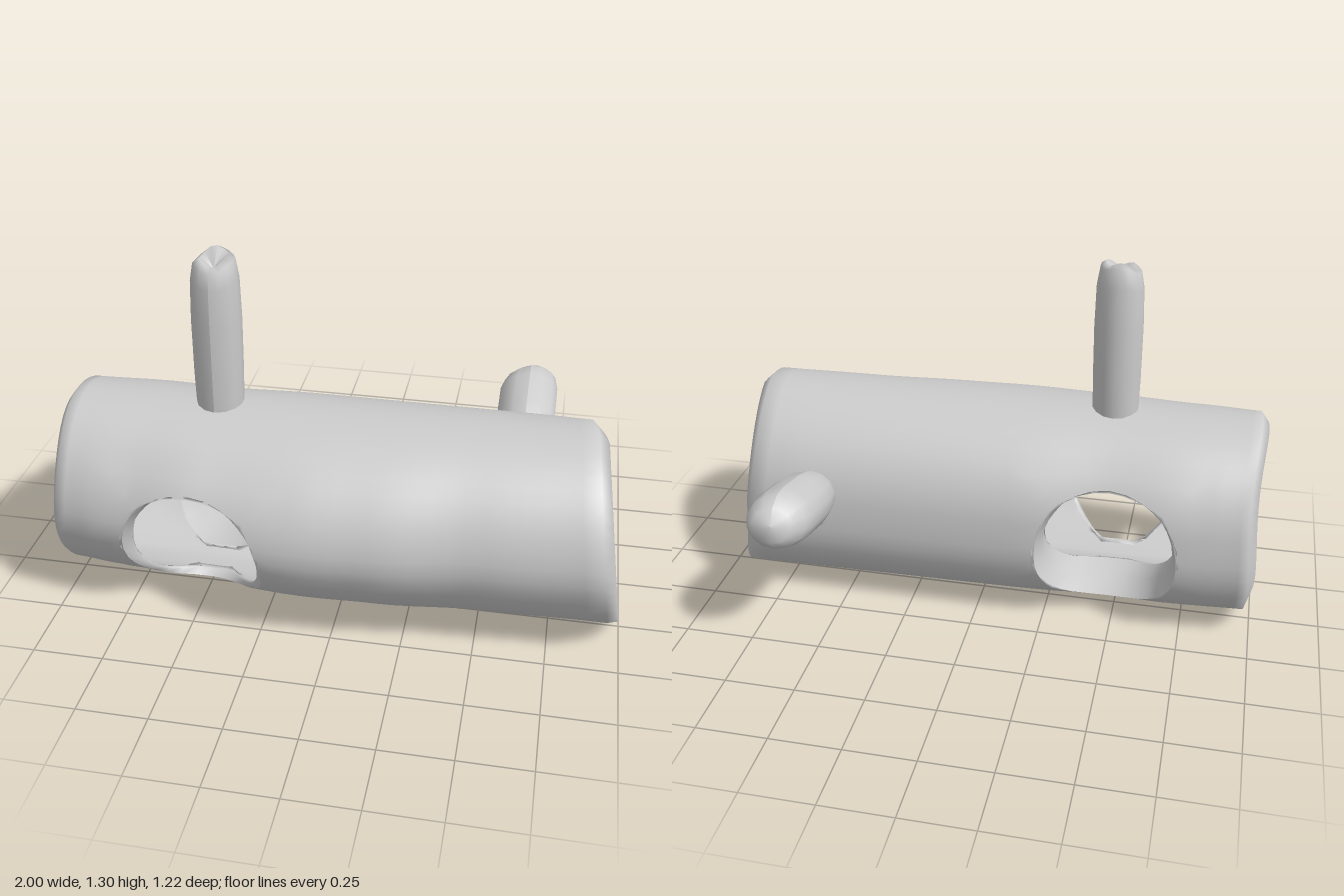
import * as THREE from 'three';

const { lerp, clamp, degToRad, smoothstep } = THREE.MathUtils;
const material = new THREE.MeshStandardMaterial({ color: 0xcccccc, side: THREE.DoubleSide });

// Smooth lookup through a few [x, value] stations
function along(stations, x) {
  for (let i = 1; i < stations.length; i++) {
    const [x0, a] = stations[i - 1], [x1, b] = stations[i];
    if (x <= x1) return lerp(a, b, smoothstep(x, x0, x1));
  }
  return stations[stations.length - 1][1];
}

const frontZ = [[-1, 0.505], [-0.75, 0.54], [-0.45, 0.585], [-0.1, 0.61], [0.15, 0.595], [0.55, 0.545], [1, 0.52]];
const backZ = [[-1, -0.175], [-0.7, -0.2], [-0.45, -0.185], [-0.15, -0.21], [0.8, -0.205], [1, -0.195]];

// Cross-section limits of the log's outer skin or its hollow
function section(x, inner) {
  const top = 0.738 - (inner ? 0.066 : 0), bottom = 0.016 - 0.014 * x + (inner ? 0.062 : 0);
  return {
    cy: (top + bottom) / 2, ry: (top - bottom) / 2, cz: 0.165,
    front: along(frontZ, x) - (inner ? 0.085 : 0),
    back: along(backZ, x) + (inner ? 0.115 : 0),
    lean: inner ? 0.045 : -0.06,
    // The hollow's lower back wall thickens towards the right end
    fill: inner ? 0.04 + 0.05 * smoothstep(x, -0.2, 1) : 0,
  };
}

function skinPoint(x, th, inner) {
  const s = section(x, inner), c = Math.cos(th), sn = Math.sin(th);
  const rz = c > 0 ? s.front - s.cz : s.cz - s.back;
  const low = Math.max(0, -sn), rear = Math.max(0, -c);
  // The right end is cut at a slant, the left end is slightly uneven
  const rightEnd = 0.912 + 0.01 * c - 0.055 * rear - 0.047 * sn;
  const px = x > 0 ? x * rightEnd : x + 0.008 * Math.sin(3 * th) * smoothstep(-x, 0.84, 0.97);
  return new THREE.Vector3(px, s.cy + s.ry * sn, s.cz + rz * c + s.lean * low + s.fill * low * rear);
}

// Hollow log with a round opening through its front and back walls
function createLog() {
  const hole = { x: -0.475, y: 0.312, span: 0.18 };
  const cols = [], rows = [];
  // Columns round the log: front opening, top, back opening, bottom
  for (let i = 0; i < 16; i++) { const q = -2 + i / 4; cols.push({ th: -18 + 33.5 * q, q }); }
  for (let i = 0; i < 10; i++) cols.push({ th: 49 + 8.2 * i, q: i ? 9 : 2 });
  for (let i = 0; i < 16; i++) { const q = 2 - i / 4; cols.push({ th: 198 - 33.5 * q, q, back: true }); }
  for (let i = 0; i < 2; i++) cols.push({ th: 265 + 5 * i, q: i ? 9 : -2, back: true });
  // Rows along the log
  for (let i = 0; i < 4; i++) rows.push(lerp(-0.97, hole.x - 2 * hole.span, i / 4));
  for (let i = 0; i <= 16; i++) rows.push(hole.x + hole.span * (-2 + i / 4));
  for (let i = 1; i <= 16; i++) rows.push(lerp(hole.x + 2 * hole.span, 1, i / 16));

  const nC = cols.length, nR = rows.length, count = nC * nR;
  const measure = (r, c) => Math.max(Math.abs((rows[r] - hole.x) / hole.span), Math.abs(cols[c].q));

  // Grid lines near an opening bend from a square into a circle
  function vertex(r, c, inner) {
    let x = rows[r], th = degToRad(cols[c].th);
    const m = measure(r, c);
    if (m < 2) {
      const a = Math.atan2(cols[c].q, (x - hole.x) / hole.span);
      const hx = hole.x + (inner ? 0.238 : 0.26) * Math.cos(a), s = section(hx, inner);
      const hy = hole.y + (inner ? 0.236 : 0.246) * Math.sin(a);
      const rise = Math.asin(clamp((hy - s.cy) / s.ry, -0.985, 0.985));
      const k = clamp(m - 1, 0, 1);
      x = lerp(hx, x, k);
      th = lerp(cols[c].back ? Math.PI - rise : rise, th, k);
    }
    return skinPoint(x, th, inner);
  }

  const points = [[], [], []];
  for (let r = 0; r < nR; r++) for (let c = 0; c < nC; c++) {
    const o = vertex(r, c, false), n = vertex(r, c, true);
    const mid = o.clone().lerp(n, 0.5);
    if (r === 0) mid.x -= 0.025;
    else if (r === nR - 1) mid.x += 0.035;
    else { mid.x += (hole.x - mid.x) * 0.06; mid.y += (hole.y - mid.y) * 0.04; }
    [o, mid, n].forEach((p, i) => points[i].push(p));
  }

  const index = [], edges = new Map();
  const quad = (a, b, c, d) => index.push(a, b, c, a, c, d);
  for (let r = 0; r < nR - 1; r++) for (let c = 0; c < nC; c++) {
    const c2 = (c + 1) % nC;
    const corners = [[r, c], [r + 1, c], [r + 1, c2], [r, c2]];
    if (corners.every(([i, j]) => measure(i, j) <= 1.001)) continue;
    const [p, q, s, t] = corners.map(([i, j]) => i * nC + j);
    quad(p, q, s, t);
    const n = 2 * count;
    quad(n + t, n + s, n + q, n + p);
    for (const [a, b] of [[p, q], [q, s], [s, t], [t, p]]) {
      if (!edges.delete(b + '_' + a)) edges.set(a + '_' + b, [a, b]);
    }
  }
  // Rounded rims join the skin to the hollow at every open edge
  for (const [a, b] of edges.values()) {
    quad(b, a, a + count, b + count);
    quad(b + count, a + count, a + 2 * count, b + 2 * count);
  }
  const geometry = new THREE.BufferGeometry().setFromPoints(points.flat());
  geometry.setIndex(index);
  geometry.computeVertexNormals();
  const log = new THREE.Mesh(geometry, material);
  log.name = 'hollowLog';
  return log;
}

// Branch from a turned profile, then bent out of round by a rule
function createBranch(name, profile, bend) {
  const geometry = new THREE.LatheGeometry(profile.map(([r, y]) => new THREE.Vector2(r, y)), 14);
  const pos = geometry.attributes.position, v = new THREE.Vector3();
  for (let i = 0; i < pos.count; i++) {
    bend(v.fromBufferAttribute(pos, i));
    pos.setXYZ(i, v.x, v.y, v.z);
  }
  geometry.computeVertexNormals();
  const mesh = new THREE.Mesh(geometry, material);
  mesh.name = name;
  return mesh;
}

export function createModel() {
  const group = new THREE.Group();
  group.name = 'hollowLogWithBranches';
  group.add(createLog());

  // Upright branch with a broken, notched tip, highest at the back right
  const upright = createBranch('uprightBranch',
    [[0.082, 0.68], [0.086, 0.85], [0.087, 1.05], [0.083, 1.2], [0.072, 1.265], [0.05, 1.28], [0, 1.235]],
    (v) => {
      if (v.y > 1.1) {
        const a = Math.atan2(v.z, v.x);
        v.y += (v.y - 1.1) * (0.05 * Math.sin(3 * a + 0.6) - 1.3 * v.z + 0.5 * v.x);
      }
      v.x += 0.01 * (v.y - 0.68);
    });
  upright.position.set(-0.452, 0, 0.167);
  group.add(upright);

  // Short blunt stub leaning out of the back
  const stub = createBranch('backStub',
    [[0.06, -0.02], [0.085, 0.05], [0.104, 0.12], [0.112, 0.2], [0.112, 0.36], [0.1, 0.42], [0.064, 0.465], [0, 0.475]],
    (v) => {
      if (v.y > 0.3) v.y += (v.y - 0.3) * (1.6 * v.x - 0.8 * v.z);
      v.z *= 0.93;
    });
  stub.position.set(0.602, 0.435, -0.13);
  stub.rotation.x = -Math.PI / 2 + 0.23;
  group.add(stub);
  return group;
}
